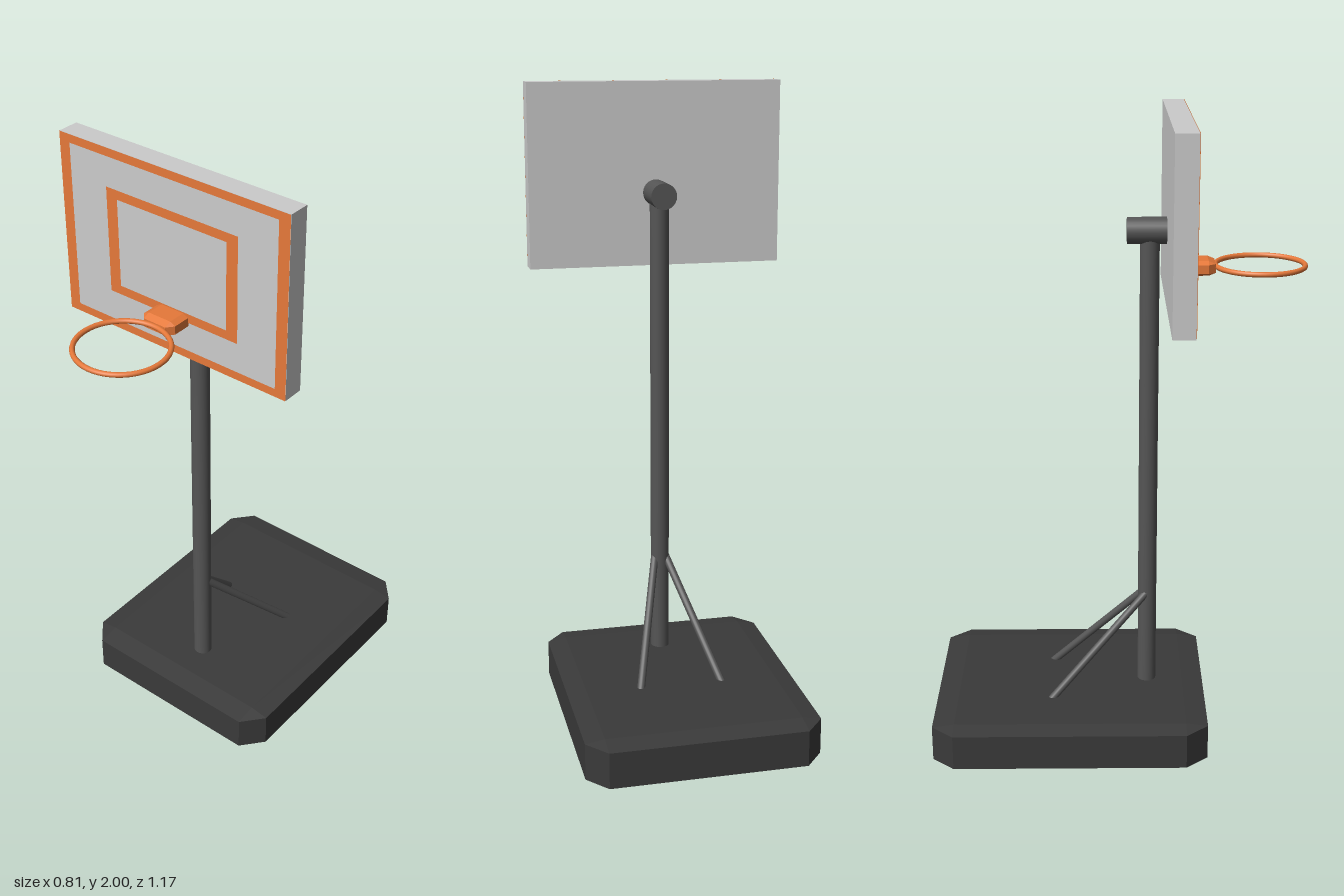
import * as THREE from 'three';
import { ConvexGeometry } from 'three/addons/geometries/ConvexGeometry.js';

const material = (color, extra = {}) => new THREE.MeshStandardMaterial({ color, ...extra });

// Box with cut corners; bx, by, bz are the bevel sizes along each axis
function bevelBox(w, h, d, bx, by, bz) {
  const points = [];
  for (const sx of [-1, 1]) for (const sy of [-1, 1]) for (const sz of [-1, 1]) {
    const x = w / 2, y = h / 2, z = d / 2;
    points.push(
      new THREE.Vector3(sx * (x - bx), sy * y, sz * (z - bz)),
      new THREE.Vector3(sx * x, sy * (y - by), sz * (z - bz)),
      new THREE.Vector3(sx * (x - bx), sy * (y - by), sz * z));
  }
  return new ConvexGeometry(points);
}

// Flat rectangular frame facing +z
function frame(w, h, sideWidth, barHeight) {
  const corners = (x, y) => [[-x, -y], [x, -y], [x, y], [-x, y]].map(p => new THREE.Vector2(...p));
  const shape = new THREE.Shape(corners(w / 2, h / 2));
  shape.holes.push(new THREE.Path(corners(w / 2 - sideWidth, h / 2 - barHeight).reverse()));
  return new THREE.ShapeGeometry(shape);
}

export function createModel() {
  const model = new THREE.Group();
  const baseMat = material(0x3a3a3a, { flatShading: true });
  const steel = material(0x555555);
  const white = material(0xcccccc);
  const orange = material(0xe6793a);
  const orangeFlat = material(0xe6793a, { flatShading: true });
  const paint = material(0xe6793a, { side: THREE.DoubleSide });

  const add = (name, geometry, mat, x, y, z) => {
    const mesh = new THREE.Mesh(geometry, mat);
    mesh.name = name;
    mesh.position.set(x, y, z);
    model.add(mesh);
    return mesh;
  };

  // Round bar between two points
  const bar = (name, a, b, radius, sides) => {
    const from = new THREE.Vector3(...a), to = new THREE.Vector3(...b);
    const dir = to.clone().sub(from);
    const mid = from.clone().add(to).multiplyScalar(0.5);
    const mesh = add(name, new THREE.CylinderGeometry(radius, radius, dir.length(), sides), steel, mid.x, mid.y, mid.z);
    mesh.quaternion.setFromUnitVectors(new THREE.Vector3(0, 1, 0), dir.normalize());
  };

  // Weighted base
  add('base', bevelBox(0.73, 0.135, 0.878, 0.06, 0.01, 0.07), baseMat, 0, 0.0675, -0.148);

  // Pole, mount and rear braces
  bar('pole', [0, 0.12, 0.104], [0, 1.65, 0.104], 0.03, 24);
  bar('boardMount', [0, 1.656, 0.034], [0, 1.656, 0.17], 0.041, 24);
  for (const side of [-1, 1])
    bar(side > 0 ? 'leftBrace' : 'rightBrace',
      [side * 0.018, 0.455, 0.1], [side * 0.133, 0.125, -0.213], 0.0125, 16);

  // Backboard with painted border and target
  add('backboard', new THREE.BoxGeometry(0.807, 0.575, 0.068), white, 0, 1.7125, 0.189);
  add('boardBorder', frame(0.807, 0.575, 0.037, 0.026), paint, 0, 1.7125, 0.2245);
  add('targetFrame', frame(0.468, 0.335, 0.039, 0.029), paint, 0, 1.7125, 0.2245);

  // Rim and its bracket
  add('rimBracket', bevelBox(0.115, 0.045, 0.12, 0.018, 0.009, 0.022), orangeFlat, 0, 1.5475, 0.243);
  add('rim', new THREE.TorusGeometry(0.137, 0.008, 10, 48), orange, 0, 1.55, 0.441).rotation.x = Math.PI / 2;

  return model;
}
